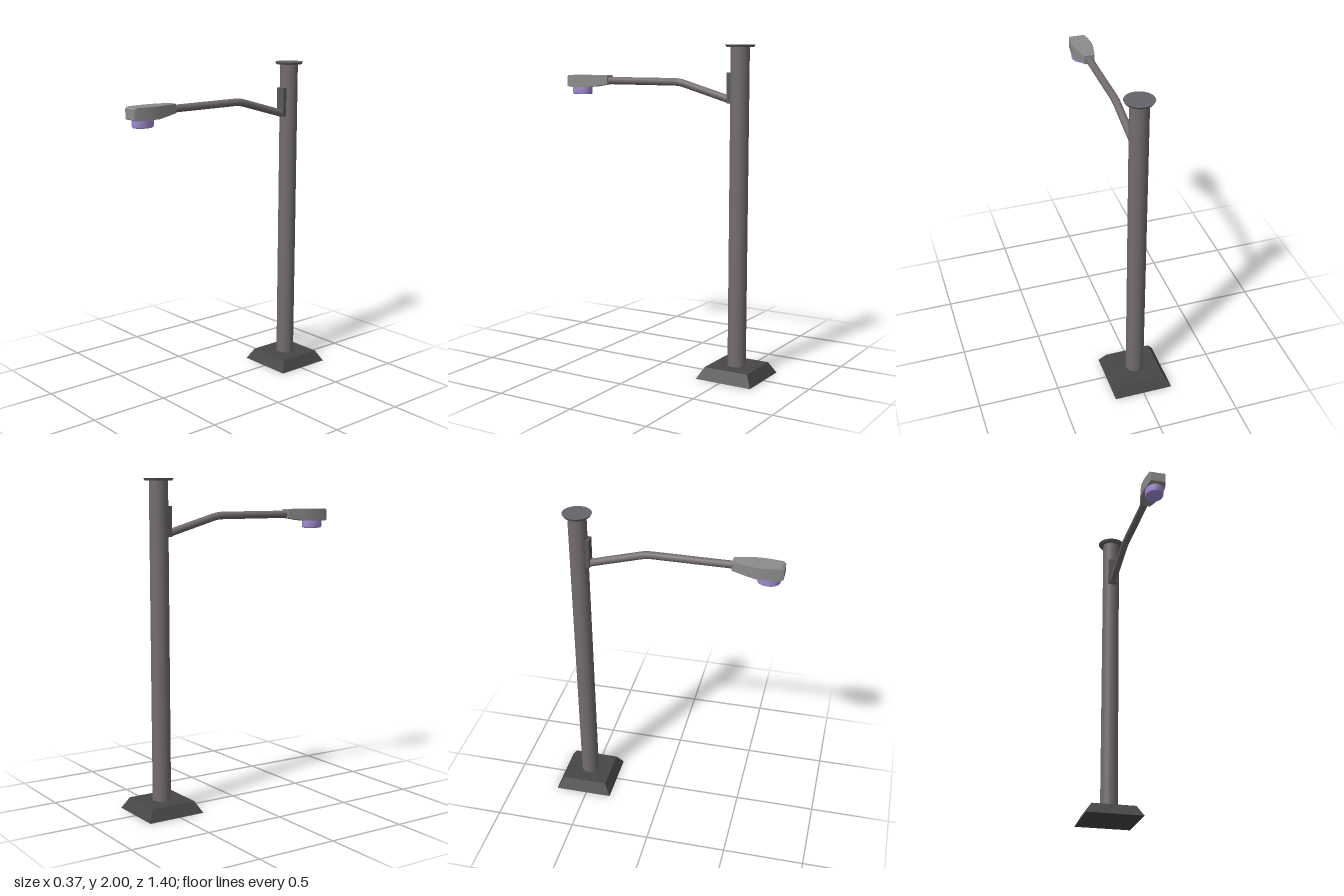
import * as THREE from 'three';
import { toCreasedNormals } from 'three/addons/utils/BufferGeometryUtils.js';

const POLE_Z = -0.52;

// Closed loft through rectangular sections [z, halfWidth, yBottom, yTop], ordered by rising z
function loftBoxes(sections) {
  const pos = [], idx = [];
  for (const [z, w, b, t] of sections) pos.push(-w, b, z, w, b, z, w, t, z, -w, t, z);
  const last = (sections.length - 1) * 4;
  for (let s = 0; s < last; s += 4) {
    for (let i = 0; i < 4; i++) {
      const a = s + i, c = s + (i + 1) % 4;
      idx.push(a, c, c + 4, a, c + 4, a + 4);
    }
  }
  idx.push(0, 2, 1, 0, 3, 2, last, last + 1, last + 2, last, last + 2, last + 3);
  const geo = new THREE.BufferGeometry();
  geo.setAttribute('position', new THREE.Float32BufferAttribute(pos, 3));
  geo.setIndex(idx);
  return toCreasedNormals(geo, 0.2);
}

export function createModel() {
  const model = new THREE.Group();
  model.name = 'streetLamp';

  const add = (name, geometry, color, x = 0, y = 0, z = 0) => {
    const mesh = new THREE.Mesh(geometry, new THREE.MeshStandardMaterial({ color }));
    mesh.name = name;
    mesh.position.set(x, y, z);
    model.add(mesh);
    return mesh;
  };

  // Square tapered foot
  const foot = new THREE.CylinderGeometry(0.143 * Math.SQRT2, 0.183 * Math.SQRT2, 0.07, 4);
  foot.rotateY(Math.PI / 4);
  add('base', toCreasedNormals(foot, 0.3), 0x474747, 0, 0.035, POLE_Z);

  // Round pole and its thin cap
  add('pole', new THREE.CylinderGeometry(0.056, 0.056, 1.93, 32), 0x736c6e, 0, 1.025, POLE_Z);
  add('poleCap', new THREE.CylinderGeometry(0.088, 0.08, 0.014, 32), 0x66646c, 0, 1.993, POLE_Z);

  // Mounting plate on the pole's front
  add('mountingPlate', new THREE.BoxGeometry(0.06, 0.18, 0.03), 0x59585a, 0, 1.75, -0.463);

  // Arm: rises from the plate, bends softly, runs level to the head
  const p = (y, z) => new THREE.Vector3(0, y, z);
  const path = new THREE.CurvePath();
  path.add(new THREE.LineCurve3(p(1.674, -0.475), p(1.768, -0.145)));
  path.add(new THREE.QuadraticBezierCurve3(p(1.768, -0.145), p(1.778, -0.11), p(1.778, -0.07)));
  path.add(new THREE.LineCurve3(p(1.778, -0.07), p(1.778, 0.42)));
  add('arm', new THREE.TubeGeometry(path, 60, 0.023, 16), 0x736c6e);

  // Lamp housing: narrow at the arm, widest over the lens, chamfered nose
  add('lampHousing', loftBoxes([
    [0.4, 0.032, 1.755, 1.81],
    [0.47, 0.048, 1.745, 1.81],
    [0.535, 0.061, 1.736, 1.81],
    [0.585, 0.062, 1.735, 1.81],
    [0.63, 0.058, 1.735, 1.81],
    [0.685, 0.05, 1.735, 1.81],
    [0.7, 0.045, 1.741, 1.8],
  ]), 0x8c8c8c);

  // Oval lens with a rounded lower rim
  const lensProfile = [[0, -0.048], [0.88, -0.048], [0.96, -0.045], [1, -0.036], [1, 0.005], [0, 0.005]]
    .map(([r, y]) => new THREE.Vector2(r, y));
  const lens = new THREE.LatheGeometry(lensProfile, 32);
  lens.scale(0.054, 1, 0.068);
  add('lens', toCreasedNormals(lens, 0.7), 0xa58fd8, 0, 1.737, 0.613);

  return model;
}
